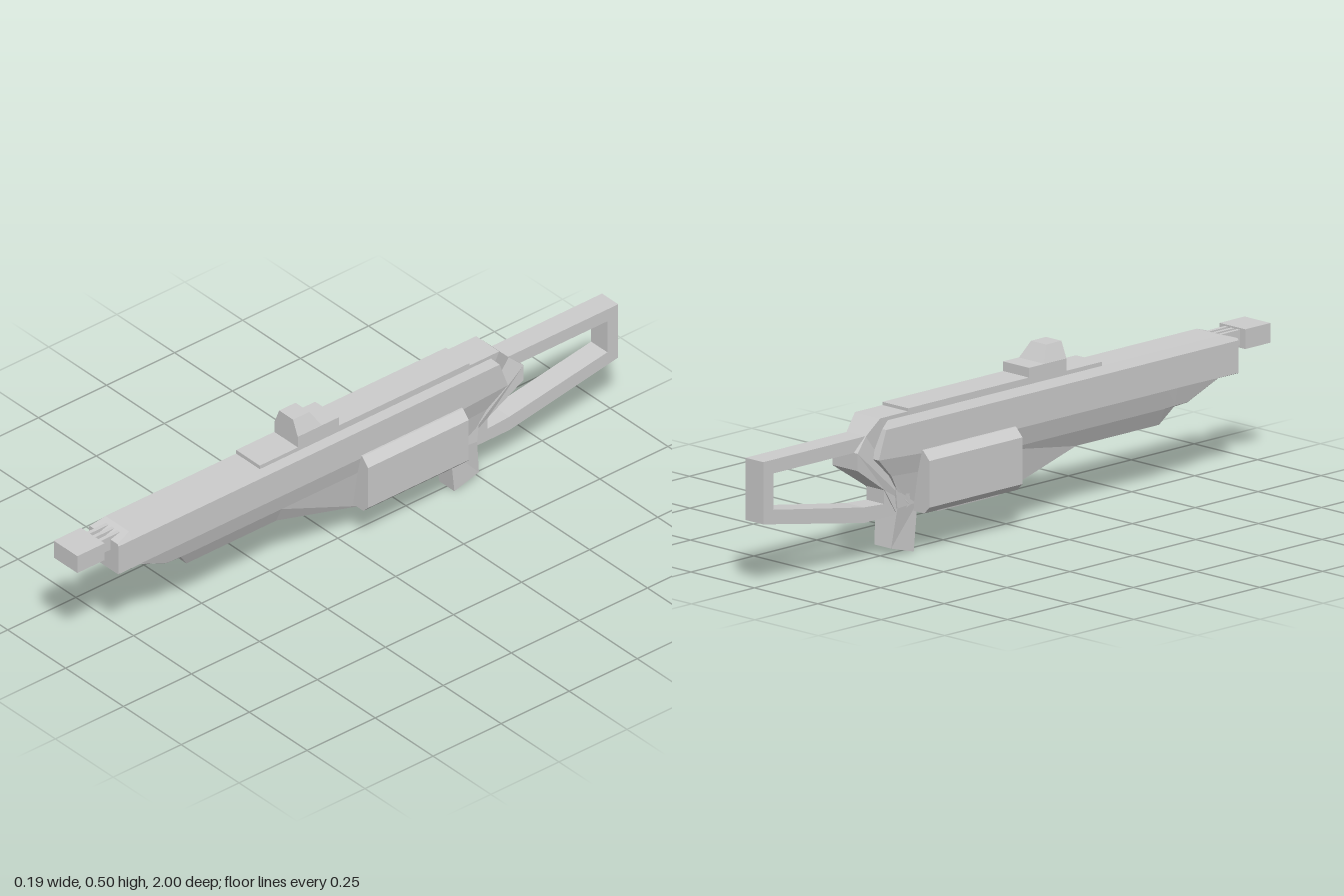
import * as THREE from 'three';

const material = new THREE.MeshStandardMaterial({ color: 0xcccccc, flatShading: true });

function addMesh(group, name, geometry) {
  const mesh = new THREE.Mesh(geometry, material);
  mesh.name = name;
  group.add(mesh);
}

// Side outline of [z, y] points extruded across x; half may be a function of (z, y).
// Holes run in the opposite direction to the outline.
function plate(points, half, holes = []) {
  const toPoint = ([z, y]) => new THREE.Vector2(-z, y);
  const shape = new THREE.Shape(points.map(toPoint));
  shape.holes = holes.map((h) => new THREE.Path(h.map(toPoint)));
  const geo = new THREE.ExtrudeGeometry(shape, { depth: 2, bevelEnabled: false });
  geo.translate(0, 0, -1).rotateY(Math.PI / 2);
  const pos = geo.attributes.position;
  for (let i = 0; i < pos.count; i++) {
    const w = typeof half === 'function' ? half(pos.getZ(i), pos.getY(i)) : half;
    pos.setX(i, pos.getX(i) * w);
  }
  geo.computeVertexNormals();
  return geo;
}

// Mirrored loft: each ring lists [x, y, z] down the left side, rings run front to back.
function loft(halfRings) {
  const verts = [];
  const quad = (a, b, c, d) => verts.push(...a, ...b, ...c, ...a, ...c, ...d);
  const flip = ([x, y, z]) => [-x, y, z];
  const rings = halfRings.map((r) => [...r, ...r.map(flip).reverse()]);
  const n = rings[0].length;
  for (let i = 0; i < rings.length - 1; i++) {
    for (let j = 0; j < n; j++) {
      const k = (j + 1) % n;
      quad(rings[i][j], rings[i][k], rings[i + 1][k], rings[i + 1][j]);
    }
  }
  const front = halfRings[0], back = halfRings[halfRings.length - 1];
  for (let j = 0; j < front.length - 1; j++) {
    quad(front[j], flip(front[j]), flip(front[j + 1]), front[j + 1]);
    quad(back[j], back[j + 1], flip(back[j + 1]), flip(back[j]));
  }
  const geo = new THREE.BufferGeometry();
  geo.setAttribute('position', new THREE.Float32BufferAttribute(verts, 3));
  geo.computeVertexNormals();
  return geo;
}

function box(w, y0, y1, z0, z1, x = 0) {
  return new THREE.BoxGeometry(w, y1 - y0, z1 - z0).translate(x, (y0 + y1) / 2, (z0 + z1) / 2);
}

export function createModel() {
  const model = new THREE.Group();
  model.name = 'rifle';

  // Main shell: constant upper section, changing keel, stepped belly
  const section = (z, mid, keel) => [
    [0.051, 0.405, z], [0.064, 0.383, z], [0.064, 0.29, z], [...mid, z], [...keel, z],
  ];
  const nose = section(0.86, [0.064, 0.289], [0.063, 0.288]);
  nose[0] = [0.06, 0.389, 0.86];
  const tail = [
    [0.051, 0.405, -0.52], [0.064, 0.383, -0.54], [0.064, 0.3, -0.57],
    [0.05, 0.24, -0.505], [0.032, 0.12, -0.43],
  ];
  addMesh(model, 'body', loft([
    nose,
    section(0.81, [0.064, 0.289], [0.063, 0.288]),
    section(0.78, [0.064, 0.289], [0.063, 0.288]),
    section(0.67, [0.051, 0.238], [0.05, 0.236]),
    section(0.62, [0.051, 0.236], [0.048, 0.233]),
    section(0.58, [0.05, 0.234], [0.028, 0.184]),
    section(0.25, [0.05, 0.234], [0.028, 0.184]),
    section(-0.06, [0.05, 0.234], [0.027, 0.097]),
    section(-0.3, [0.05, 0.234], [0.027, 0.097]),
    section(-0.303, [0.05, 0.234], [0.03, 0.118]),
    section(-0.4, [0.05, 0.234], [0.03, 0.118]),
    tail,
  ]));

  // Rear core between shell and stock, pinched where it meets the stock's top
  addMesh(model, 'rearCore', plate(
    [[-0.44, 0.416], [-0.55, 0.416], [-0.595, 0.37], [-0.64, 0.33], [-0.64, 0.28],
      [-0.52, 0.2], [-0.47, 0.12], [-0.42, 0.14]],
    (z, y) => (y < 0.25 || Math.abs(y - 0.37) < 0.01 ? 0.038 : 0.05)));

  // Open frame stock
  addMesh(model, 'stock', plate(
    [[-0.55, 0.37], [-1, 0.37], [-1, 0.19], [-0.6, 0.12], [-0.42, 0.12], [-0.42, 0.2], [-0.5, 0.25]],
    0.035,
    [[[-0.52, 0.2], [-0.52, 0.16], [-0.6, 0.165], [-0.96, 0.225], [-0.96, 0.33], [-0.6, 0.33]]]));

  // Grip, wider at the top rear
  addMesh(model, 'grip', plate(
    [[-0.385, 0.14], [-0.4, 0.0], [-0.49, 0.025], [-0.475, 0.14], [-0.485, 0.23], [-0.45, 0.23]],
    (z, y) => (y > 0.1 && z < -0.42 ? 0.043 : 0.033)));

  // Top rail
  addMesh(model, 'rearRail', box(0.102, 0.4, 0.425, -0.44, 0.04));
  addMesh(model, 'frontRail', box(0.102, 0.4, 0.417, 0.04, 0.33));

  // Sight: low base and tapered hood
  addMesh(model, 'sightBase', box(0.102, 0.41, 0.453, 0.04, 0.19));
  addMesh(model, 'sightHood', plate(
    [[0.19, 0.45], [0.19, 0.5], [0.13, 0.5], [0.1, 0.45]],
    (z, y) => (y > 0.48 ? 0.03 : 0.051)));

  // Muzzle block on three ribs
  addMesh(model, 'muzzle', box(0.102, 0.348, 0.405, 0.9, 1));
  for (const x of [-0.024, 0, 0.024]) {
    addMesh(model, 'muzzleRib', box(0.012, 0.355, 0.4, 0.82, 0.91, x));
  }
  addMesh(model, 'muzzleNeck', box(0.056, 0.355, 0.385, 0.84, 0.91));

  // Chamfered side pods
  const podOutline = [[0.03, 0.118], [0.075, 0.118], [0.095, 0.138], [0.095, 0.273], [0.07, 0.299], [0.03, 0.299]];
  for (const s of [-1, 1]) {
    const shape = new THREE.Shape(podOutline.map(([x, y]) => new THREE.Vector2(s * x, y)));
    const geo = new THREE.ExtrudeGeometry(shape, { depth: 0.37, bevelEnabled: false });
    addMesh(model, s > 0 ? 'leftPod' : 'rightPod', geo.translate(0, 0, -0.4));
  }
  return model;
}
